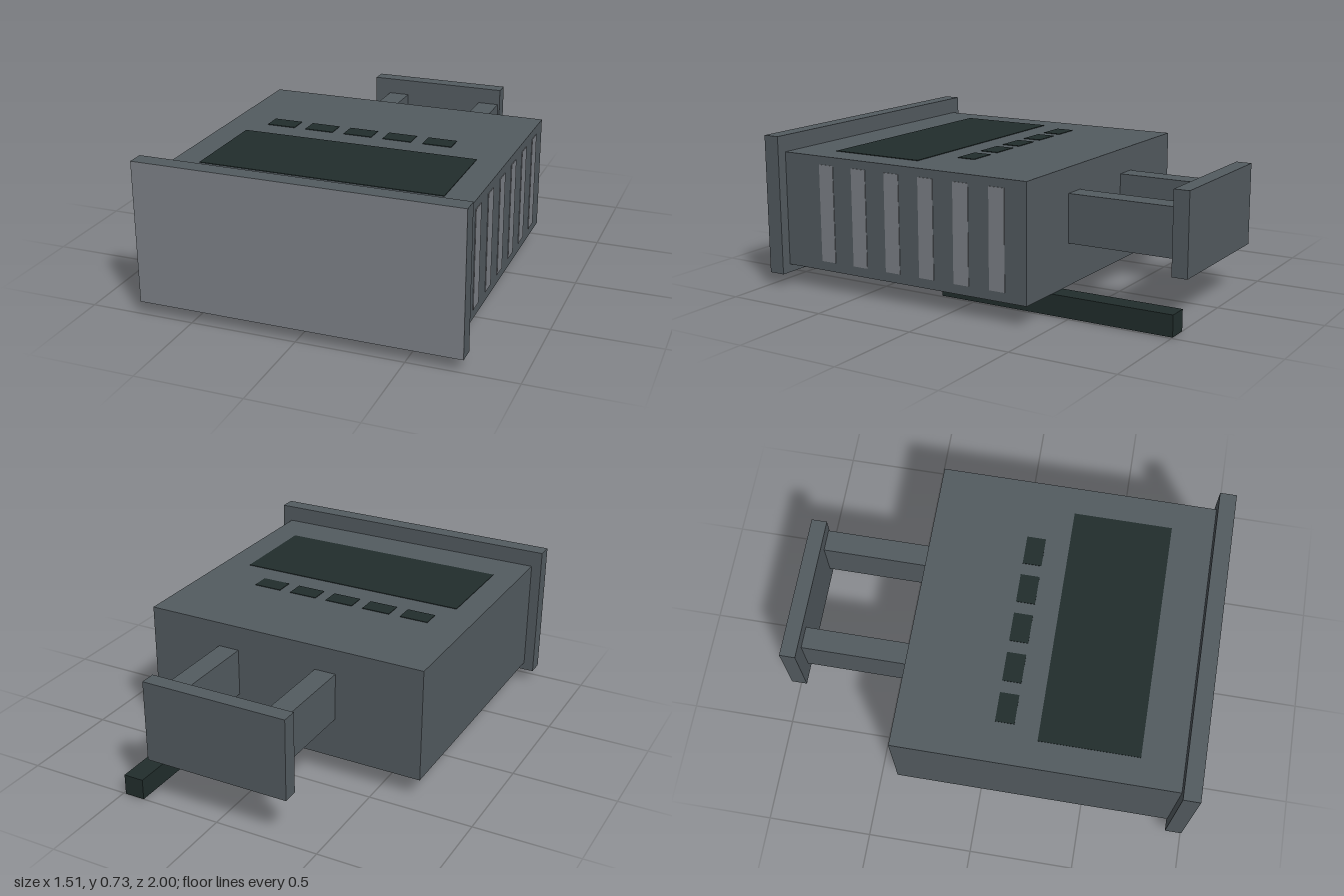
import * as THREE from 'three';

export function createModel() {
  const model = new THREE.Group();

  const makeMaterial = (name, color) => {
    const material = new THREE.MeshStandardMaterial({ color });
    material.name = name;
    return material;
  };
  const casing = makeMaterial('slate grey', 0x535b60);
  const pale = makeMaterial('pale grey', 0x7d8187);
  const dark = makeMaterial('dark green black', 0x212d2c);

  // Box given by its limits on each axis
  const box = (name, material, [x0, x1], [y0, y1], [z0, z1], parent = model) => {
    const mesh = new THREE.Mesh(new THREE.BoxGeometry(x1 - x0, y1 - y0, z1 - z0), material);
    mesh.position.set((x0 + x1) / 2, (y0 + y1) / 2, (z0 + z1) / 2);
    mesh.name = name;
    parent.add(mesh);
    return mesh;
  };
  const group = (name) => {
    const g = new THREE.Group();
    g.name = name;
    model.add(g);
    return g;
  };

  // Main housing and its wider front panel, pale on the front face only
  box('housing', casing, [-0.705, 0.705], [0.1, 0.65], [-0.41, 0.92]);
  box('frontPanel', [casing, casing, casing, casing, pale, casing],
    [-0.755, 0.755], [0.06, 0.73], [0.92, 1]);

  // Painted window and row of small marks on the top
  const top = [0.648, 0.653];
  box('topWindow', dark, [-0.575, 0.57], top, [0.25, 0.72]);
  const marks = group('topMarks');
  for (let i = 0; i < 5; i++) {
    const x = -0.515 + i * 0.197;
    box('topMark', dark, [x, x + 0.14], top, [0.045, 0.135], marks);
  }

  // Upright stripes on the left side
  const stripes = group('sideStripes');
  for (let i = 0; i < 6; i++) {
    const z = 0.675 - i * 0.187;
    box('sideStripe', pale, [0.703, 0.708], [0.145, 0.61], [z - 0.04, z + 0.04], stripes);
  }

  // Rear handle: two arms and a cross plate
  const handle = group('rearHandle');
  for (const x of [-0.275, 0.235]) {
    box('handleArm', casing, [x, x + 0.105], [0.3, 0.53], [-0.925, -0.41], handle);
  }
  box('handlePlate', casing, [-0.355, 0.35], [0.22, 0.61], [-1, -0.925], handle);

  // Rod under the housing, reaching out behind
  box('lowerRod', dark, [0.39, 0.488], [0, 0.1], [-1, 0.18]);

  return model;
}
